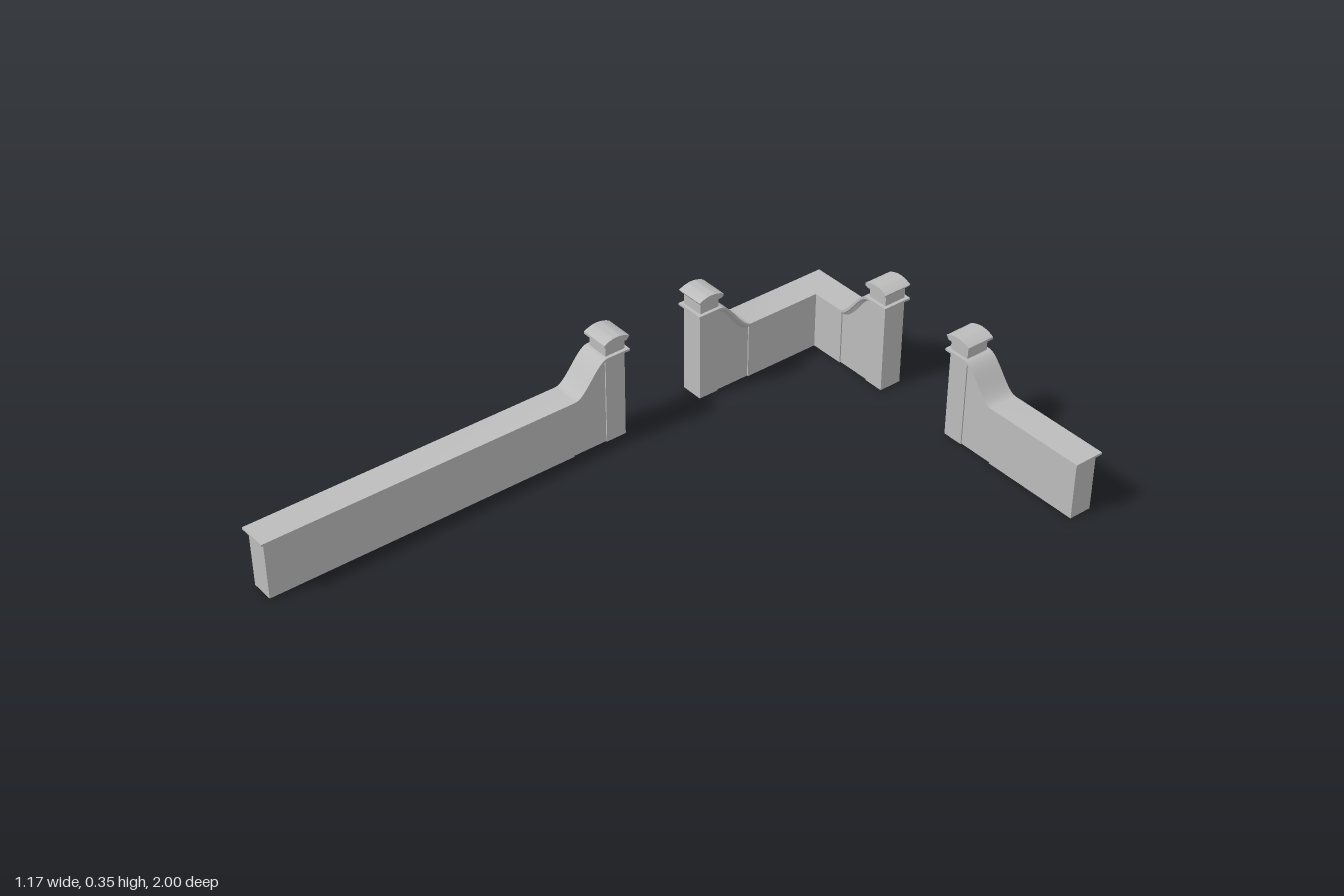
import * as THREE from 'three';
import { toCreasedNormals } from 'three/addons/utils/BufferGeometryUtils.js';

const stone = new THREE.MeshStandardMaterial({ color: 0xbcbcbc });
stone.name = 'grey stone';

const HALF = 0.037;          // half thickness of walls and pillars
const POST = 0.067;          // length of a pillar along its wall
const SWEEP = 0.183;         // where the swept curve meets the level wall
const LOW = 0.194, HIGH = 0.295;

// Height and slope of the coping at distance d from the pillar's end
function copingAt(d) {
  const t = THREE.MathUtils.clamp((d - POST) / (SWEEP - POST), 0, 1);
  return {
    y: HIGH + (LOW - HIGH) * t * t * (3 - 2 * t),
    slope: ((LOW - HIGH) * 6 * t * (1 - t)) / (SWEEP - POST),
  };
}

function add(parent, name, geometry, x = 0, y = 0, z = 0) {
  const mesh = new THREE.Mesh(geometry, stone);
  mesh.name = name;
  mesh.position.set(x, y, z);
  parent.add(mesh);
}

// Block running from x0 to x1 and y0 to y1, centred on the wall line
function block(parent, name, x0, x1, y0, y1, half = HALF) {
  add(parent, name, new THREE.BoxGeometry(x1 - x0, y1 - y0, half * 2), (x0 + x1) / 2, (y0 + y1) / 2);
}

// Moulded coping: a slab section lofted along the wall, mitred or overhanging at the far end
function copingGeometry(length, mitre) {
  const right = [[HALF, -0.017], [0.043, -0.009], [0.048, -0.007], [0.048, 0]];
  const ring = [...right.map(([z, h]) => [-z, h]).reverse(), ...right];
  const n = ring.length;
  const stations = [0];
  for (let i = 0; i <= 14; i++) stations.push(POST + ((SWEEP - POST) * i) / 14);
  stations.push(length);

  const pos = [], index = [];
  stations.forEach((d, s) => {
    const { y, slope } = copingAt(d);
    const k = Math.hypot(1, slope);
    for (const [z, h] of ring) {
      const over = Math.abs(z) - HALF;
      let x = d;
      if (s === 0) x -= over;
      if (s === stations.length - 1) x += mitre ? mitre * z : over;
      pos.push(x, y + h * k, z);
    }
  });
  for (let s = 0; s < stations.length - 1; s++) {
    for (let j = 0; j < n; j++) {
      const a = s * n + j, b = s * n + ((j + 1) % n);
      index.push(a, a + n, b + n, a, b + n, b);
    }
  }
  const e = (stations.length - 1) * n;
  for (let j = 0; j < n / 2 - 1; j++) {
    const p = n - 1 - j, q = n - 2 - j;
    index.push(j, j + 1, q, j, q, p);
    index.push(e + j, e + q, e + j + 1, e + j, e + p, e + q);
  }
  const g = new THREE.BufferGeometry();
  g.setAttribute('position', new THREE.Float32BufferAttribute(pos, 3));
  g.setIndex(index);
  return toCreasedNormals(g.toNonIndexed(), 0.5);
}

// Recessed panel whose top follows the swept coping
function sweptPanelGeometry(half) {
  const shape = new THREE.Shape();
  shape.moveTo(POST, 0);
  shape.lineTo(SWEEP, 0);
  for (let i = 14; i >= 0; i--) {
    const d = POST + ((SWEEP - POST) * i) / 14;
    shape.lineTo(d, copingAt(d).y - 0.01);
  }
  shape.closePath();
  return new THREE.ExtrudeGeometry(shape, { depth: half * 2, bevelEnabled: false }).translate(0, 0, -half);
}

// Pillar cap: slab with a chamfered underside and a gently arched top
function capGeometry() {
  const shape = new THREE.Shape();
  shape.moveTo(-0.035, 0.328);
  shape.lineTo(0.035, 0.328);
  shape.lineTo(0.044, 0.332);
  shape.lineTo(0.044, 0.34);
  shape.quadraticCurveTo(0, 0.364, -0.044, 0.34);
  shape.closePath();
  const g = new THREE.ExtrudeGeometry(shape, { depth: 0.094, bevelEnabled: false, curveSegments: 12 });
  return toCreasedNormals(g.translate(0, 0, -0.047), 0.3);
}

// One wall run along local +x, starting at its pillar
function wallRun(name, x, z, angle, length, mitre = 0) {
  const run = new THREE.Group();
  run.name = name;
  block(run, 'pillar', 0, POST, 0, HIGH - 0.01);
  block(run, 'pillarNeck', 0, POST, HIGH - 0.01, 0.332);
  add(run, 'pillarCap', capGeometry(), POST / 2);
  add(run, 'sweptPanel', sweptPanelGeometry(HALF - 0.004));
  block(run, 'wall', SWEEP, length - mitre * HALF, 0, LOW - 0.01);
  add(run, 'coping', copingGeometry(length, mitre));
  run.position.set(x, 0, z);
  run.rotation.y = angle;
  return run;
}

export function createModel() {
  const model = new THREE.Group();
  model.name = 'boundaryWalls';
  const sideX = -0.54, backZ = -0.952;

  model.add(wallRun('longSideWall', sideX, -0.2, -Math.PI / 2, 1.189));

  // L-shaped corner made of two mitred runs
  const corner = new THREE.Group();
  corner.name = 'cornerWall';
  corner.add(wallRun('cornerSideRun', sideX, -0.473, Math.PI / 2, -0.473 - backZ, -1));
  corner.add(wallRun('cornerBackRun', -0.205, backZ, Math.PI, -0.205 - sideX, 1));
  model.add(corner);

  model.add(wallRun('backWall', 0.068, backZ, 0, 0.506));
  return model;
}
